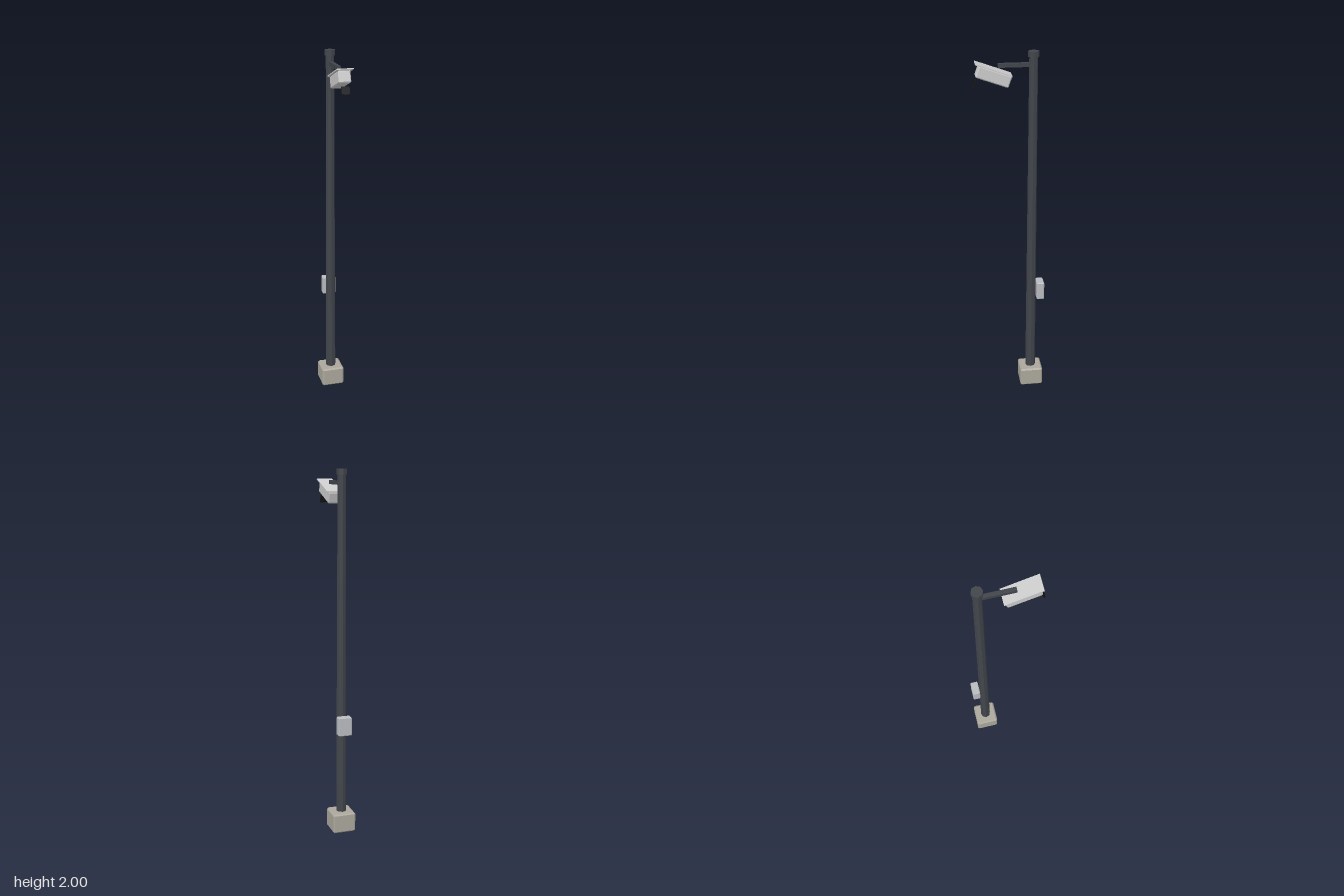
import * as THREE from 'three';
import { ConvexGeometry } from 'three/addons/geometries/ConvexGeometry.js';

const mat = (color) => new THREE.MeshStandardMaterial({ color, flatShading: true });

// Box with every edge cut at 45 degrees
function chamferBox(w, h, d, b) {
  const points = [];
  for (const x of [-1, 1]) for (const y of [-1, 1]) for (const z of [-1, 1]) {
    for (let axis = 0; axis < 3; axis++) {
      const inset = [b, b, b];
      inset[axis] = 0;
      points.push(new THREE.Vector3(
        x * (w / 2 - inset[0]), y * (h / 2 - inset[1]), z * (d / 2 - inset[2])));
    }
  }
  return new ConvexGeometry(points);
}

export function createModel() {
  const model = new THREE.Group();
  model.name = 'cameraPole';
  const concrete = mat(0xaba79c);
  const steel = mat(0x41454b);
  const shell = mat(0xd2d4d6);
  const cabinetGrey = mat(0xb9bcbf);
  const black = mat(0x141518);
  const poleZ = -0.125;

  const add = (parent, name, geometry, material, x, y, z) => {
    const mesh = new THREE.Mesh(geometry, material);
    mesh.name = name;
    mesh.position.set(x, y, z);
    parent.add(mesh);
    return mesh;
  };

  // Footing, tapered octagonal pole and its cap
  add(model, 'footing', chamferBox(0.13, 0.11, 0.13, 0.008), concrete, 0, 0.055, poleZ);
  add(model, 'pole', new THREE.CylinderGeometry(0.023, 0.029, 1.87, 8), steel, 0, 1.045, poleZ);
  add(model, 'poleCap', new THREE.CylinderGeometry(0.029, 0.029, 0.03, 8), steel, 0, 1.985, poleZ);

  // Bracket arm reaching forward from the pole
  add(model, 'arm', new THREE.BoxGeometry(0.021, 0.021, 0.185), steel, 0, 1.93, -0.0325);

  // Service cabinet on the back of the pole
  add(model, 'serviceCabinet', chamferBox(0.076, 0.104, 0.043, 0.004), cabinetGrey, 0, 0.62, -0.1755);

  // Tilted camera head: housing, sunshield and lens
  const head = new THREE.Group();
  head.name = 'cameraHead';
  head.position.set(0, 1.877, 0.085);
  head.rotation.x = -0.34;
  model.add(head);
  add(head, 'housing', chamferBox(0.066, 0.064, 0.182, 0.006), shell, 0, 0, 0);
  add(head, 'sunshield', new THREE.BoxGeometry(0.088, 0.006, 0.2), shell, 0, 0.034, 0.012);
  add(head, 'lens', new THREE.BoxGeometry(0.044, 0.04, 0.008), black, 0, -0.069, 0.081);

  return model;
}
